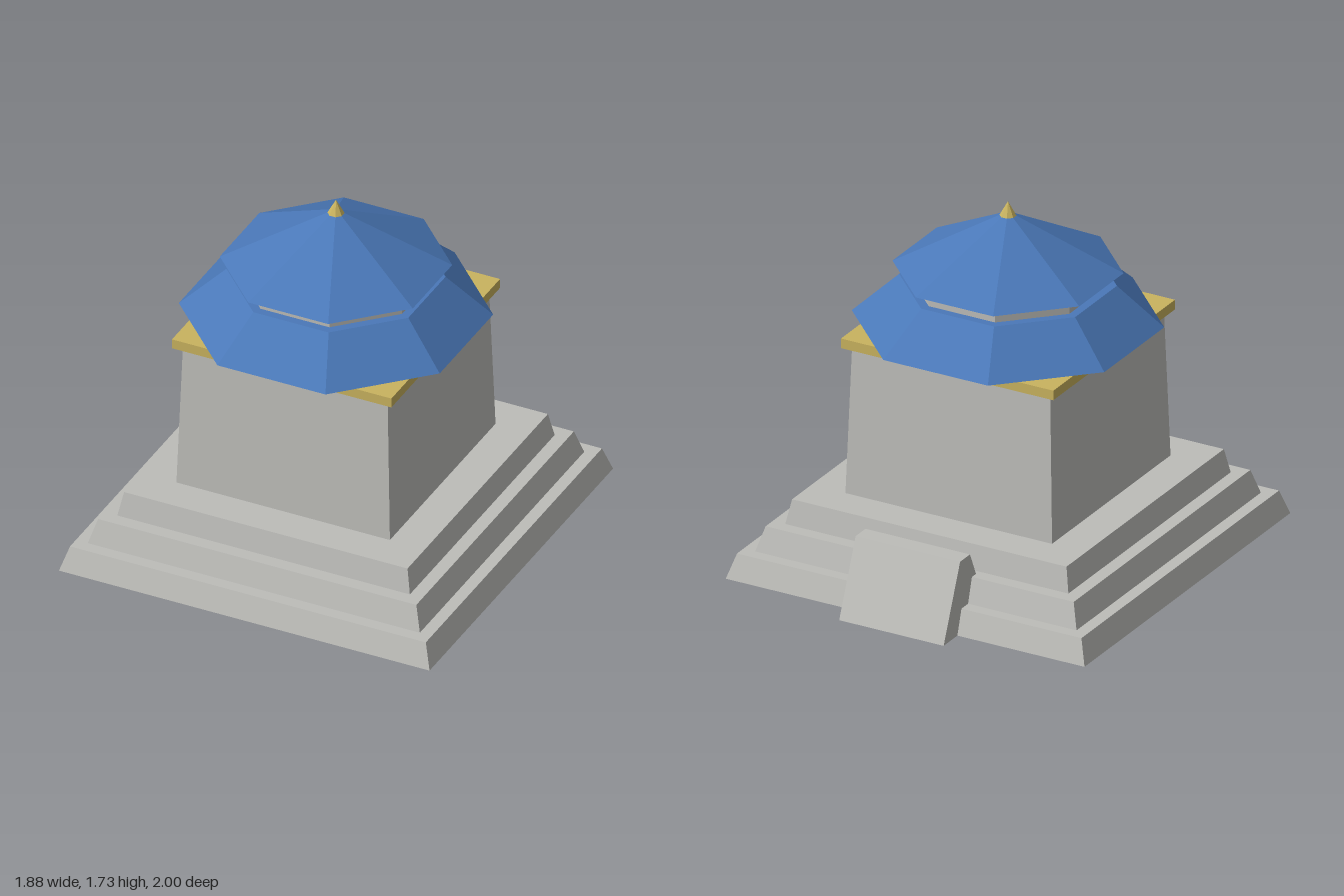
import * as THREE from 'three';

export function createModel() {
  const model = new THREE.Group();
  model.name = 'pavilion';

  const material = (name, color) => {
    const m = new THREE.MeshStandardMaterial({ color, flatShading: true });
    m.name = name;
    return m;
  };
  const stone = material('stone', 0xbdbdb9);
  const blue = material('blue roof', 0x4a78b8);
  const gold = material('gold', 0xc9b35f);

  const centreZ = 0.0625;

  // Tapered prism with flat sides facing the axes; sizes are centre-to-side
  function prism(name, mat, sides, bottom, top, y0, y1) {
    const k = 1 / Math.cos(Math.PI / sides);
    const geo = new THREE.CylinderGeometry(top * k, bottom * k, y1 - y0, sides, 1, false, Math.PI / sides);
    const mesh = new THREE.Mesh(geo, mat);
    mesh.name = name;
    mesh.position.set(0, (y0 + y1) / 2, centreZ);
    model.add(mesh);
  }

  // Stepped square base
  [[0.9375, 0.9], [0.84, 0.805], [0.74, 0.717]].forEach(([bottom, top], i) =>
    prism('baseStep' + (i + 1), stone, 4, bottom, top, i * 0.12, (i + 1) * 0.12));

  // Square hall and cornice
  prism('hall', stone, 4, 0.54, 0.518, 0.36, 1.09);
  prism('cornice', gold, 4, 0.555, 0.555, 1.09, 1.138);

  // Octagonal two-tier roof and finial
  prism('lowerRoof', blue, 8, 0.66, 0.46, 1.14, 1.335);
  prism('drum', stone, 8, 0.42, 0.42, 1.335, 1.4);
  prism('upperRoof', blue, 8, 0.488, 0, 1.4, 1.68);
  prism('finial', gold, 8, 0.036, 0, 1.66, 1.73);

  // Entrance ramp at the back: profile in (z, y), extruded across x
  const profile = new THREE.Shape(
    [[-1, 0], [-0.595, 0], [-0.76, 0.36], [-0.85, 0.36]].map(([z, y]) => new THREE.Vector2(-z, y)));
  const rampGeo = new THREE.ExtrudeGeometry(profile, { depth: 0.546, bevelEnabled: false });
  rampGeo.translate(0, 0, -0.273).rotateY(Math.PI / 2);
  const ramp = new THREE.Mesh(rampGeo, stone);
  ramp.name = 'backRamp';
  model.add(ramp);

  return model;
}
